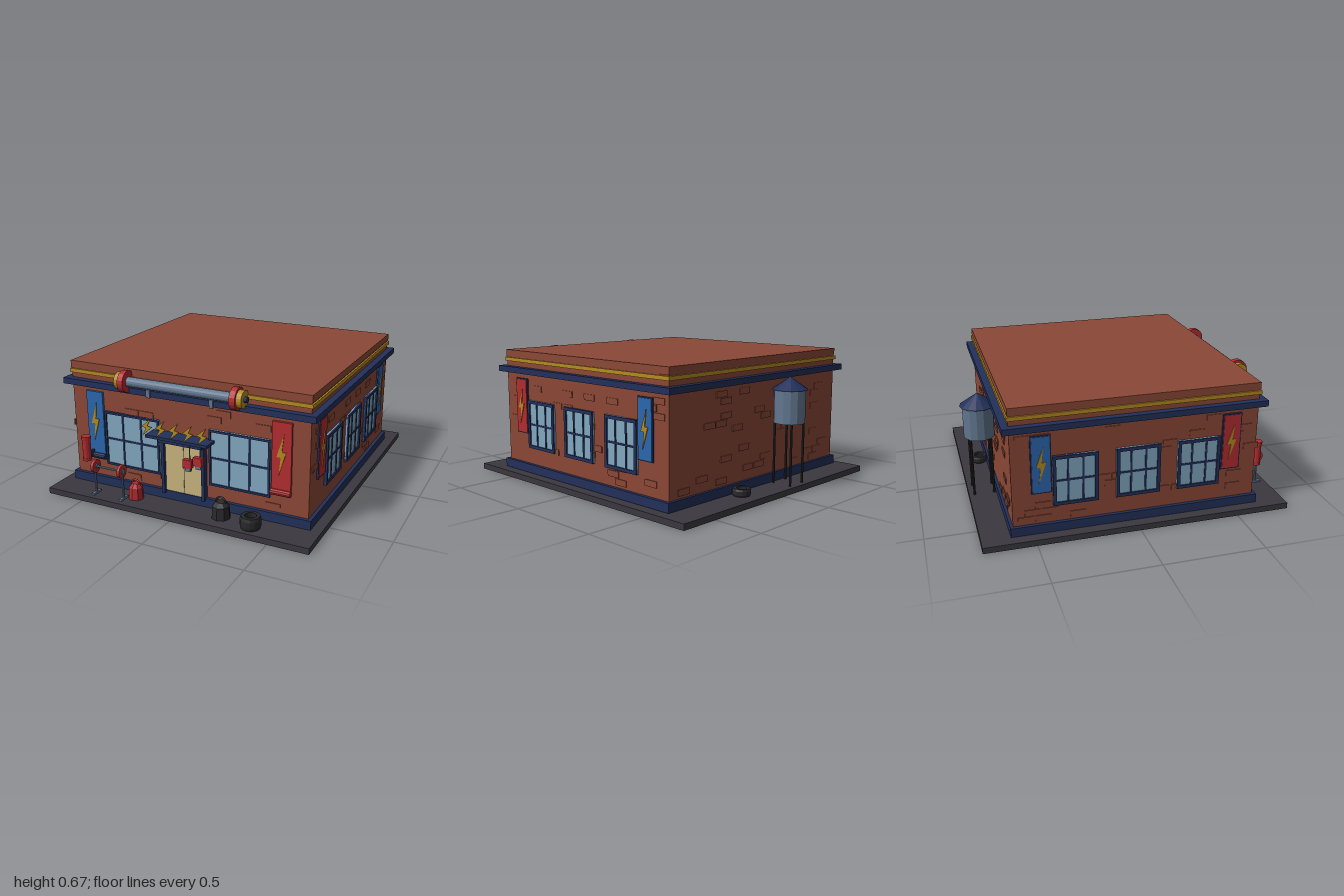
import * as THREE from 'three';

const material = (name, color) => {
  const m = new THREE.MeshStandardMaterial({ color });
  m.name = name;
  return m;
};

export function createModel() {
  const brick = material('brick', 0x8b4836), navy = material('navy', 0x22305a);
  const asphalt = material('asphalt', 0x3a383f), glass = material('glass', 0x82a8c0);
  const gold = material('gold', 0xb58a20), red = material('red', 0xb22c30);
  const blue = material('blue', 0x2b66ad), cream = material('cream', 0xc8b47e);
  const steel = material('steel', 0x62768f), rubber = material('rubber', 0x29292c);

  const model = new THREE.Group();
  model.name = 'garage';

  const add = (parent, name, geo, mat, x = 0, y = 0, z = 0) => {
    const m = new THREE.Mesh(geo, mat);
    m.name = name;
    m.position.set(x, y, z);
    parent.add(m);
    return m;
  };
  const box = (p, name, mat, w, h, d, x, y, z) => add(p, name, new THREE.BoxGeometry(w, h, d), mat, x, y, z);
  const cyl = (p, name, mat, r0, r1, h, x, y, z, n = 12) => {
    const g = new THREE.CylinderGeometry(r0, r1, h, n).toNonIndexed();
    g.computeVertexNormals();
    return add(p, name, g, mat, x, y, z);
  };
  const rod = (p, name, mat, r, len, x, y, z, n = 16) => {
    const m = cyl(p, name, mat, r, r, len, x, y, z, n);
    m.rotation.z = Math.PI / 2;
    return m;
  };
  const group = (name, parent = model, x = 0, y = 0, z = 0, turn = 0) => {
    const g = new THREE.Group();
    g.name = name;
    g.position.set(x, y, z);
    g.rotation.y = turn;
    parent.add(g);
    return g;
  };

  // Lightning bolt plate
  const bolt = (p, w, h, x, y, z) => {
    const pts = [[0.25, 1], [-0.5, -0.12], [-0.05, -0.12], [-0.25, -1], [0.5, 0.14], [0.05, 0.14]];
    const shape = new THREE.Shape(pts.map(([a, b]) => new THREE.Vector2(a * w, b * h / 2)));
    return add(p, 'bolt', new THREE.ExtrudeGeometry(shape, { depth: 0.006, bevelEnabled: false }), gold, x, y, z);
  };

  // Window with frame and glazing bars
  const windowAt = (p, w, h, x, y, cols, rows, f) => {
    const g = group('window', p, x, y, 0);
    box(g, 'pane', glass, w, h, 0.012, 0, 0, 0.002);
    for (const s of [-1, 1]) {
      box(g, 'frameSide', navy, f, h, 0.026, s * (w - f) / 2, 0, 0.002);
      box(g, 'frameRail', navy, w, f, 0.026, 0, s * (h - f) / 2, 0.002);
    }
    for (let i = 1; i < cols; i++) box(g, 'bar', navy, 0.009, h, 0.02, -w / 2 + w * i / cols, 0, 0.002);
    for (let i = 1; i < rows; i++) box(g, 'bar', navy, w, 0.009, 0.02, 0, -h / 2 + h * i / rows, 0.002);
  };

  // Slab, walls and trim
  box(model, 'slab', asphalt, 1.4, 0.03, 1.52, 0, 0.015, 0.008);
  box(model, 'walls', brick, 1.265, 0.63, 1.2, 0, 0.345, 0);
  box(model, 'roofCap', brick, 1.272, 0.035, 1.206, 0, 0.648, 0);
  box(model, 'plinth', navy, 1.3, 0.045, 1.232, 0, 0.055, 0.002);
  box(model, 'cornice', navy, 1.33, 0.03, 1.268, 0, 0.566, 0);
  box(model, 'goldBand', gold, 1.282, 0.019, 1.216, 0, 0.616, 0);

  // Wall faces, each drawn in its own plane
  const faces = {
    front: group('frontFace', model, 0, 0, 0.6, 0),
    back: group('backFace', model, 0, 0, -0.6, Math.PI),
    right: group('rightFace', model, 0.6325, 0, 0, Math.PI / 2),
    left: group('leftFace', model, -0.6325, 0, 0, -Math.PI / 2),
  };

  // Scattered raised bricks
  let seed = 7;
  const rand = () => (seed = (seed * 16807) % 2147483647) / 2147483647;
  for (const [name, face] of Object.entries(faces)) {
    for (let i = 0; i < 34; i++) {
      const row = Math.floor(rand() * 13);
      const x = (Math.floor(rand() * 14) - 6.5 + (row % 2) * 0.4) * 0.083;
      if (name === 'front' && Math.abs(x) < 0.15) continue;
      box(face, 'raisedBrick', brick, 0.075, 0.03, 0.006, x, 0.105 + row * 0.034, 0.001);
    }
  }

  // Side windows and framed signs
  for (const [face, s] of [[faces.right, 1], [faces.left, -1]]) {
    for (const x of [-0.302, 0, 0.302]) windowAt(face, 0.215, 0.25, x, 0.29, 3, 2, 0.016);
    for (const [mat, x] of [[red, -0.465 * s], [blue, 0.462 * s]]) {
      const sign = group('sign', face, x, 0.38, 0);
      box(sign, 'signBack', navy, 0.096, 0.288, 0.016, 0, 0, 0);
      box(sign, 'signPanel', mat, 0.084, 0.276, 0.02, 0, 0, 0.001);
      bolt(sign, 0.046, 0.18, 0, 0, 0.009);
    }
  }

  // Front windows and banners
  for (const s of [-1, 1]) {
    windowAt(faces.front, 0.31, 0.28, s * 0.29, 0.29, 3, 2, 0.01);
    const banner = group('banner', faces.front, s * 0.5, 0, 0);
    box(banner, 'cloth', s < 0 ? blue : red, 0.095, 0.325, 0.016, 0, 0.362, 0.004);
    rod(banner, 'bannerRoll', s < 0 ? navy : red, 0.015, 0.097, 0, 0.186, 0.014, 10);
    bolt(banner, 0.046, 0.2, 0, 0.37, 0.01);
  }

  // Double door
  const door = group('door', faces.front);
  for (const s of [-1, 1]) {
    box(door, 'doorLeaf', cream, 0.099, 0.27, 0.02, s * 0.051, 0.208, 0.004);
    box(door, 'doorPost', navy, 0.016, 0.29, 0.04, s * 0.109, 0.21, 0.01);
  }
  box(door, 'doorGap', navy, 0.004, 0.27, 0.02, 0, 0.208, 0.002);
  box(door, 'lintel', navy, 0.235, 0.022, 0.06, 0, 0.35, 0.025);

  // Canopy with a row of bolts
  const canopy = group('canopy', faces.front);
  box(canopy, 'canopyPlate', navy, 0.33, 0.014, 0.088, -0.002, 0.372, 0.04);
  for (let i = 0; i < 5; i++) bolt(canopy, 0.055, 0.095, -0.155 + i * 0.073, 0.42, 0.08).rotation.z = -0.2;

  // Tags hanging from the canopy
  for (const [x, y] of [[0.052, 0.265], [0.107, 0.285]]) {
    const tag = group('hangingTool', model, x, y, 0.665);
    box(tag, 'cord', steel, 0.004, 0.365 - y, 0.004, 0.01, (0.365 - y) / 2, 0);
    box(tag, 'toolBody', red, 0.045, 0.042, 0.025, 0, 0, 0);
    box(tag, 'toolTip', steel, 0.026, 0.02, 0.016, 0.002, -0.028, 0);
  }

  // Roof-edge tube
  const tube = group('roofTube', model, -0.002, 0.612, 0.636);
  rod(tube, 'tubeBody', steel, 0.024, 0.58, 0, 0, 0);
  for (const s of [-1, 1]) {
    rod(tube, 'redCollar', red, 0.053, 0.03, s * 0.292, 0, 0, 20);
    rod(tube, 'goldCap', gold, 0.042, 0.03, s * 0.318, 0, 0, 20);
    rod(tube, 'endPin', navy, 0.014, 0.02, s * 0.337, 0, 0, 10);
    box(tube, 'bracket', steel, 0.02, 0.04, 0.012, s * 0.167, -0.044, 0.002);
  }

  // Extinguisher on the left front corner
  const bottle = group('extinguisher', model, -0.525, 0, 0.668);
  cyl(bottle, 'bottleBody', red, 0.021, 0.021, 0.11, 0, 0.243, 0);
  cyl(bottle, 'bottleCap', red, 0.024, 0.024, 0.015, 0, 0.298, 0);
  cyl(bottle, 'bottleFoot', red, 0.023, 0.023, 0.014, 0, 0.185, 0);
  box(bottle, 'bottleBracket', navy, 0.012, 0.03, 0.07, 0, 0.2, -0.035);

  // Axle with red wheels on a stand
  const axle = group('axleStand', model, -0.368, 0, 0.712);
  rod(axle, 'axleRod', steel, 0.006, 0.17, 0, 0.177, 0, 8);
  for (const s of [-1, 1]) {
    rod(axle, 'wheel', red, 0.034, 0.014, s * 0.076, 0.177, 0);
    rod(axle, 'hub', steel, 0.013, 0.024, s * 0.076, 0.177, 0, 10);
    cyl(axle, 'standLeg', steel, 0.006, 0.006, 0.15, s * 0.08, 0.105, 0, 8);
    box(axle, 'standFoot', steel, 0.014, 0.01, 0.06, s * 0.08, 0.035, 0);
  }

  // Cans with looped handles
  for (const [name, mat, x, r] of [['redCan', red, -0.238, 0.038], ['blackCan', rubber, 0.228, 0.046]]) {
    const can = group(name, model, x, 0, 0.675);
    cyl(can, 'canBody', mat, r * 0.9, r, 0.06, 0, 0.062, 0, 8);
    cyl(can, 'canShoulder', mat, r * 0.5, r * 0.9, 0.02, 0, 0.102, 0, 8);
    add(can, 'canHandle', new THREE.TorusGeometry(r * 0.55, 0.005, 6, 10, Math.PI), mat, 0, 0.108, 0);
  }

  // Tyres lying on the slab
  const tyre = (x, z, r, h) => {
    const profile = [[0.55, 0], [0.9, 0], [1, 0.25], [1, 0.75], [0.9, 1], [0.55, 1], [0.55, 0]];
    const g = new THREE.LatheGeometry(profile.map(([a, b]) => new THREE.Vector2(a * r, b * h)), 16).toNonIndexed();
    g.computeVertexNormals();
    add(model, 'tyre', g, rubber, x, 0.03, z);
    cyl(model, 'tyreCentre', rubber, r * 0.56, r * 0.56, h * 0.6, x, 0.03 + h * 0.3, z);
  };
  tyre(0.392, 0.702, 0.05, 0.06);
  tyre(0.2, -0.652, 0.045, 0.036);

  // Water tank on legs behind the building
  const tank = group('waterTank', model, -0.137, 0, -0.674);
  cyl(tank, 'tankBody', steel, 0.078, 0.078, 0.165, 0, 0.418, 0, 14);
  cyl(tank, 'tankRoof', navy, 0.001, 0.09, 0.062, 0, 0.531, 0, 14);
  for (const sx of [-1, 1]) for (const sz of [-1, 1]) {
    cyl(tank, 'tankLeg', rubber, 0.006, 0.006, 0.31, sx * 0.05, 0.185, sz * 0.05, 8);
  }
  return model;
}
